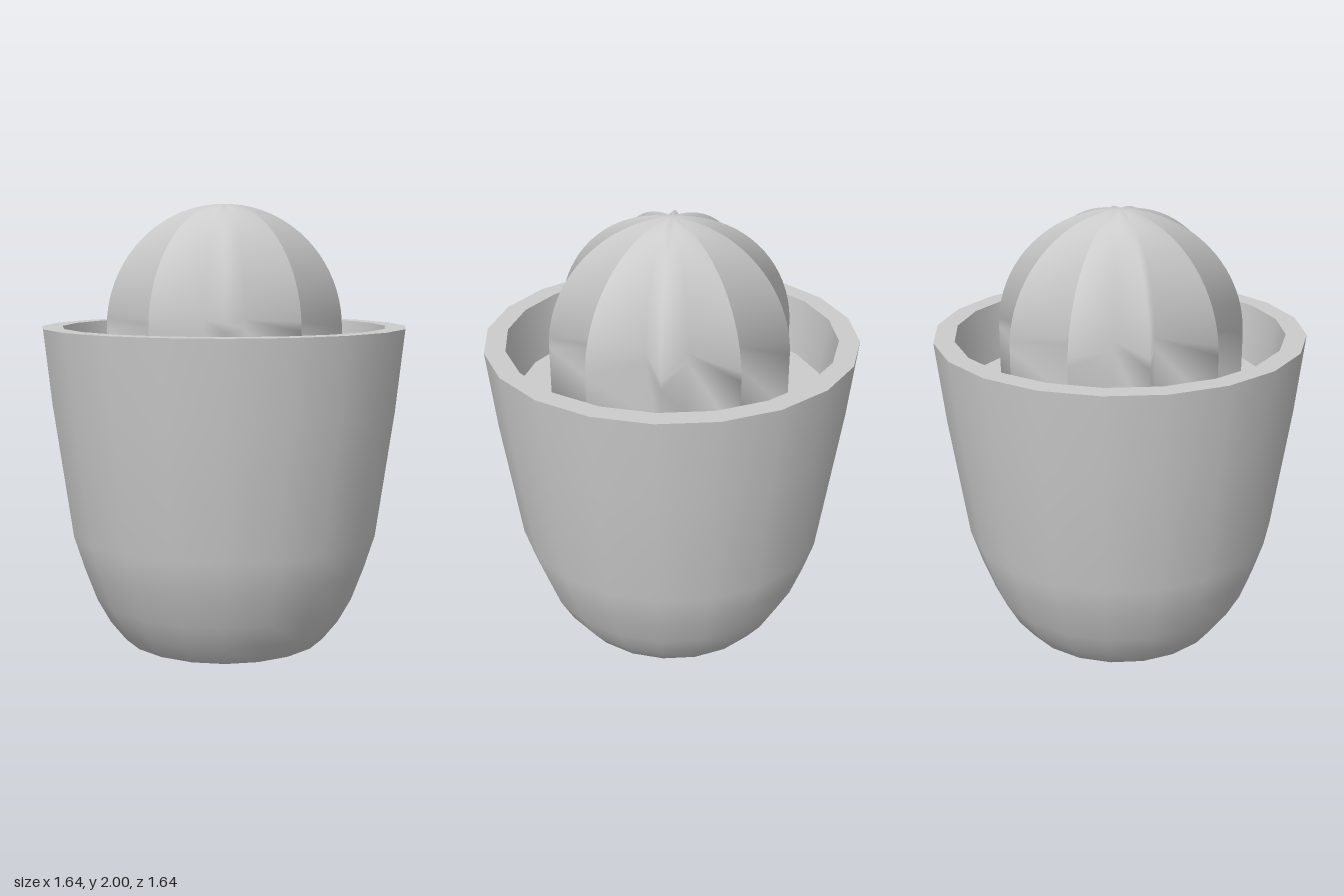
import * as THREE from 'three';
import { mergeVertices } from 'three/addons/utils/BufferGeometryUtils.js';

const SIDES = 20;
const FLOOR = 1.2;
const material = new THREE.MeshStandardMaterial({ color: 0xcccccc });

// Revolves a list of [radius, height] pairs
const revolve = (pairs) =>
  new THREE.LatheGeometry(pairs.map(([r, y]) => new THREE.Vector2(r, y)), SIDES);

function addPart(group, name, geometry) {
  const mesh = new THREE.Mesh(geometry, material);
  mesh.name = name;
  group.add(mesh);
}

// Ridged dome: a round profile whose every other column is pulled in to a groove
function reamerGeometry() {
  const radius = 0.54, grooveScale = 0.53, steps = 20;
  const profile = [[radius, FLOOR]];
  for (let i = 0; i <= steps; i++) {
    const a = (i / steps) * Math.PI / 2;
    profile.push([i === steps ? 0 : radius * Math.cos(a), 1.46 + radius * Math.sin(a)]);
  }
  let geometry = revolve(profile);
  const pos = geometry.attributes.position;
  for (let i = 0; i < pos.count; i++) {
    const column = Math.floor(i / profile.length);
    if (column % 2 === 0) {
      pos.setX(i, pos.getX(i) * grooveScale);
      pos.setZ(i, pos.getZ(i) * grooveScale);
    }
  }
  // Weld the seam and pole so the ridges shade smoothly
  geometry.deleteAttribute('uv');
  geometry.deleteAttribute('normal');
  geometry = mergeVertices(geometry, 1e-5);
  geometry.computeVertexNormals();
  return geometry;
}

export function createModel() {
  const group = new THREE.Group();
  group.name = 'citrusJuicer';

  // Cup body, separate surfaces keep the rim and floor edges sharp
  addPart(group, 'cupOuterWall', revolve([
    [0, 0], [0.3, 0.005], [0.41, 0.018], [0.47, 0.04], [0.54, 0.13],
    [0.6, 0.24], [0.655, 0.39], [0.702, 0.54], [0.78, 1.1], [0.818, 1.46],
  ]));
  addPart(group, 'cupRim', revolve([[0.818, 1.46], [0.727, 1.46]]));
  addPart(group, 'cupInnerWall', revolve([[0.727, 1.46], [0.693, FLOOR]]));
  addPart(group, 'cupFloor', revolve([[0.693, FLOOR], [0, FLOOR]]));

  addPart(group, 'reamer', reamerGeometry());
  return group;
}
